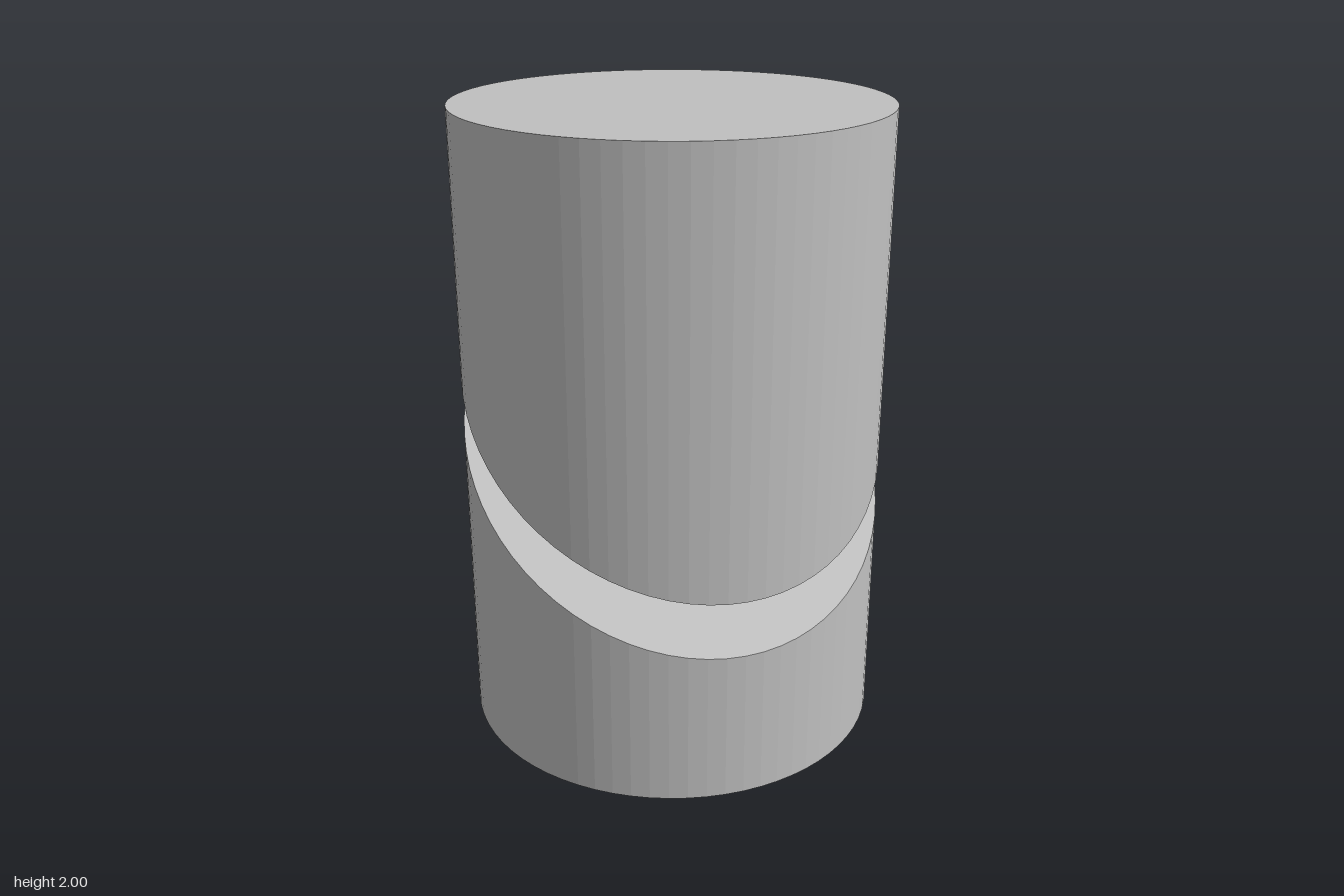
import * as THREE from 'three';

const R = 0.667;        // outer radius
const PIN = 0.417;      // pin and bore radius
const SLOPE = 0.63;     // steepness of the slanted cut
const DIR = THREE.MathUtils.degToRad(40); // the cut is lowest towards +x +z
const LOWER_CUT = 0.9, UPPER_CUT = 1.08;  // cut heights on the axis
const CUT = 9;          // profile marker: this point lies on the slanted cut

export function createModel() {
  const group = new THREE.Group();
  const grey = new THREE.MeshStandardMaterial({ color: 0xc0c0c0, flatShading: true });
  grey.name = 'plain grey';

  // Turned part whose marked points are moved onto the slanted plane
  function turned(name, profile, cutHeight) {
    const geo = new THREE.LatheGeometry(profile.map(([r, y]) => new THREE.Vector2(r, y)), 72);
    const p = geo.attributes.position;
    for (let i = 0; i < p.count; i++) {
      if (p.getY(i) !== CUT) continue;
      const downhill = p.getX(i) * Math.cos(DIR) + p.getZ(i) * Math.sin(DIR);
      p.setY(i, cutHeight - SLOPE * downhill);
    }
    geo.computeVertexNormals();
    const mesh = new THREE.Mesh(geo, grey);
    mesh.name = name;
    group.add(mesh);
  }

  // Lower sleeve with an open bore
  turned('lowerSleeve', [[PIN, CUT], [PIN, 0], [R, 0], [R, CUT], [PIN, CUT]], LOWER_CUT);
  // Solid upper body with a slanted underside
  turned('upperBody', [[PIN, CUT], [R, CUT], [R, 2], [0, 2]], UPPER_CUT);
  // Pin reaching from the upper body down into the bore
  turned('pin', [[0, 0.5], [PIN, 0.5], [PIN, CUT]], UPPER_CUT);

  return group;
}
